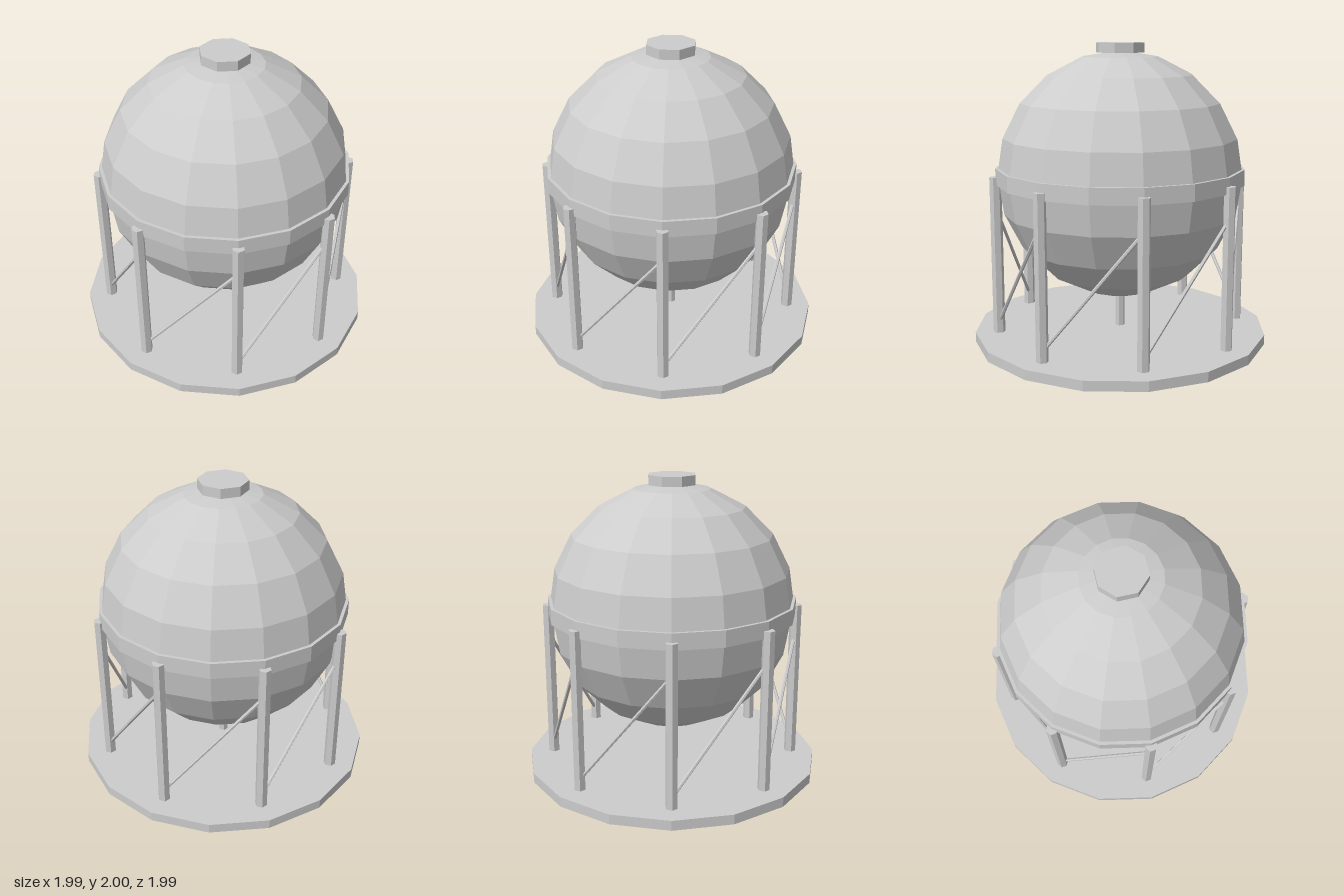
import * as THREE from 'three';

export function createModel() {
  const model = new THREE.Group();
  model.name = 'sphericalStorageTank';

  const paintedSteel = new THREE.MeshStandardMaterial({ color: 0xcccccc, flatShading: true });
  paintedSteel.name = 'light grey';

  const add = (name, geometry, parent = model) => {
    const mesh = new THREE.Mesh(geometry, paintedSteel);
    mesh.name = name;
    parent.add(mesh);
    return mesh;
  };

  // Upright prism between two heights
  const prism = (name, radius, y0, y1, sides, parent) => {
    const mesh = add(name, new THREE.CylinderGeometry(radius, radius, y1 - y0, sides), parent);
    mesh.position.y = (y0 + y1) / 2;
    return mesh;
  };

  // Foundation, vessel, equator band, top hatch
  prism('foundation', 0.994, 0, 0.066, 16);
  add('vessel', new THREE.SphereGeometry(0.82, 16, 10)).position.y = 1.13;
  prism('equatorBand', 0.832, 1.08, 1.186, 16);
  prism('topHatch', 0.163, 1.936, 2, 8);

  // Drain pipe under the vessel
  prism('drainPipe', 0.033, 0.066, 0.36, 6).rotation.y = Math.PI / 2;

  // Ring of eight legs, each joined to the next by one rising brace
  const legs = new THREE.Group();
  legs.name = 'legs';
  const braces = new THREE.Group();
  braces.name = 'braces';
  model.add(legs, braces);

  const ringPoint = (i, y) => {
    const a = ((i + 0.5) * Math.PI) / 4;
    return new THREE.Vector3(Math.sin(a) * 0.833, y, Math.cos(a) * 0.833);
  };
  const up = new THREE.Vector3(0, 1, 0);

  for (let i = 0; i < 8; i++) {
    const leg = prism('leg', 0.04, 0.066, 1.13, 6, legs);
    const foot = ringPoint(i, 0);
    leg.position.x = foot.x;
    leg.position.z = foot.z;
    leg.rotation.y = Math.PI / 2;

    const low = ringPoint(i, 0.13);
    const high = ringPoint(i + 1, 0.92);
    const span = high.clone().sub(low);
    const brace = add('brace', new THREE.CylinderGeometry(0.012, 0.012, span.length(), 6), braces);
    brace.position.copy(low).add(high).multiplyScalar(0.5);
    brace.quaternion.setFromUnitVectors(up, span.normalize());
  }

  return model;
}
